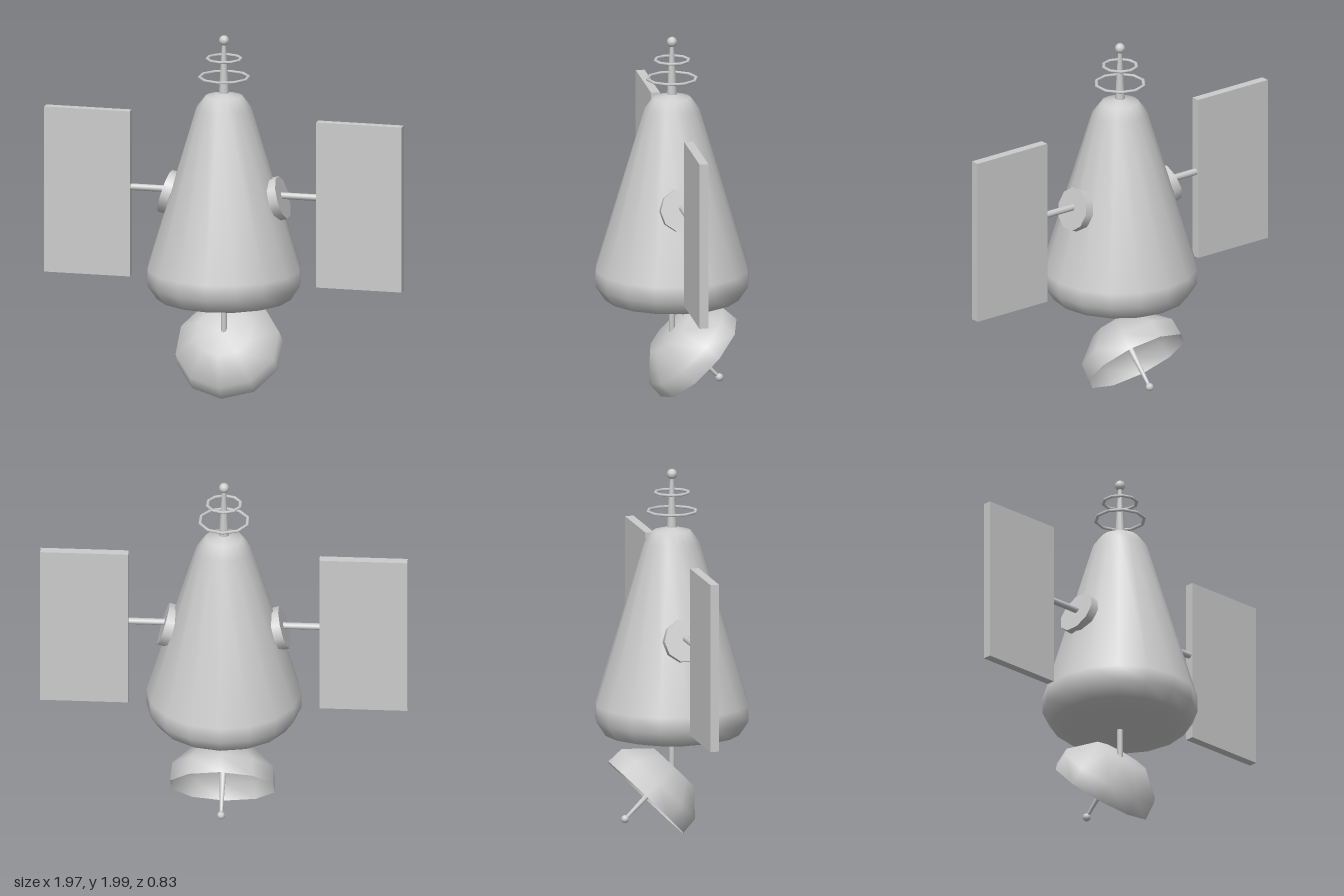
import * as THREE from 'three';

const grey = new THREE.MeshStandardMaterial({ color: 0xcccccc });
const greyDouble = new THREE.MeshStandardMaterial({ color: 0xcccccc, side: THREE.DoubleSide });

export function createModel() {
  const model = new THREE.Group();

  const add = (parent, name, geometry, x = 0, y = 0, z = 0, material = grey) => {
    const mesh = new THREE.Mesh(geometry, material);
    mesh.name = name;
    mesh.position.set(x, y, z);
    parent.add(mesh);
    return mesh;
  };
  const lathe = (points, sides) =>
    new THREE.LatheGeometry(points.map(([r, y]) => new THREE.Vector2(r, y)), sides);

  // Rounded conical hull
  add(model, 'hull', lathe([
    [0, 0.53], [0.23, 0.53], [0.365, 0.56], [0.415, 0.635], [0.415, 0.72],
    [0.15, 1.6], [0.1, 1.665], [0, 1.69],
  ], 16));

  // Top antenna: tapered mast, two hoops and a ball
  add(model, 'antennaMast', new THREE.CylinderGeometry(0.01, 0.028, 0.3, 10), 0, 1.82);
  add(model, 'antennaBall', new THREE.SphereGeometry(0.028, 10, 8), 0, 1.972);
  for (const [name, radius, y] of [['lowerHoop', 0.132, 1.77], ['upperHoop', 0.091, 1.872]]) {
    const hoop = new THREE.TorusGeometry(radius, 0.01, 6, 10)
      .rotateX(Math.PI / 2).rotateY(Math.PI / 2).scale(1, 0.75, 1);
    add(model, name, hoop, 0, y);
  }

  // Solar wings with mounting discs on the sloping hull
  for (const [side, s] of [['left', 1], ['right', -1]]) {
    const wing = new THREE.Group();
    wing.name = side + 'Wing';
    model.add(wing);
    const disc = add(wing, 'mountDisc', new THREE.CylinderGeometry(0.118, 0.118, 0.05, 10), s * 0.3, 1.118);
    disc.rotation.z = -s * (Math.PI / 2 - 0.285);
    add(wing, 'wingRod', new THREE.CylinderGeometry(0.018, 0.018, 0.26, 10).rotateZ(Math.PI / 2), s * 0.4, 1.135);
    add(wing, 'solarPanel', new THREE.BoxGeometry(0.472, 0.91, 0.048), s * 0.748, 1.1);
  }

  // Dish hanging below on a short stem, opening down and to the back
  add(model, 'dishStem', new THREE.CylinderGeometry(0.016, 0.016, 0.2, 10), 0, 0.46);
  const dish = new THREE.Group();
  dish.name = 'dish';
  dish.position.set(0, 0.215, -0.145);
  dish.rotation.x = -Math.PI * 0.75;
  model.add(dish);
  add(dish, 'dishOuter', lathe([[0, -0.22], [0.155, -0.22], [0.284, -0.098], [0.29, 0]], 10), 0, 0, 0, greyDouble);
  add(dish, 'dishInner', lathe([[0.29, 0], [0.27, -0.09], [0.145, -0.185], [0, -0.185]], 10), 0, 0, 0, greyDouble);
  add(dish, 'feedRod', new THREE.CylinderGeometry(0.009, 0.022, 0.35, 10), 0, -0.02);
  add(dish, 'feedBall', new THREE.SphereGeometry(0.022, 10, 8), 0, 0.16);

  return model;
}
